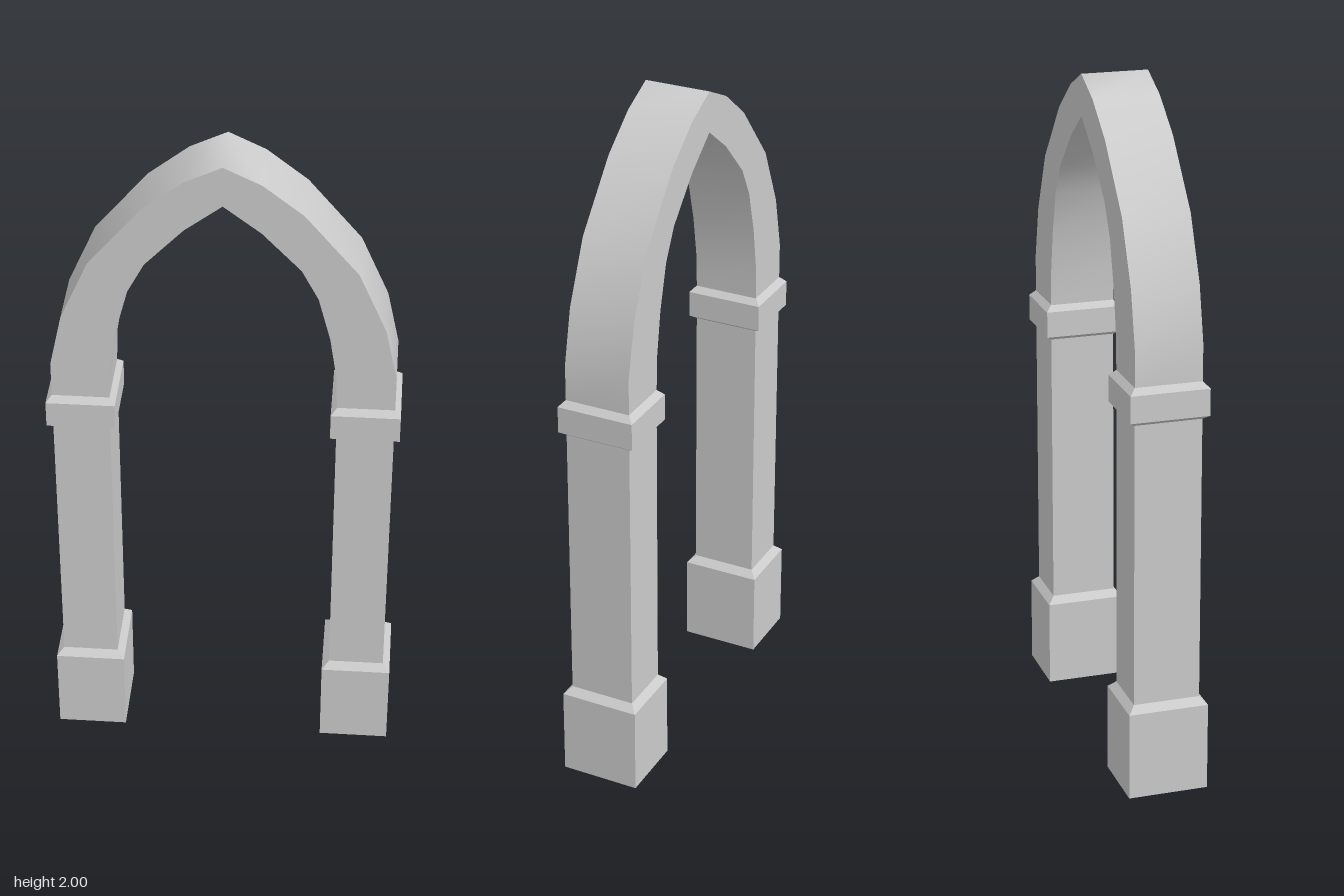
import * as THREE from 'three';
import { toCreasedNormals } from 'three/addons/utils/BufferGeometryUtils.js';

const PIER_X = 0.4075;
const DEPTH = 0.196;
const stone = new THREE.MeshStandardMaterial({ color: 0xcccccc });
const cutStone = new THREE.MeshStandardMaterial({ color: 0xcccccc, flatShading: true });

// Closed block lofted through rectangles [y, halfWidth, halfDepth], bottom to top
function rectLoft(sections) {
  const positions = [];
  const index = [];
  for (const [y, w, d] of sections) {
    positions.push(-w, y, d, w, y, d, w, y, -d, -w, y, -d);
  }
  for (let s = 0; s < sections.length - 1; s++) {
    for (let i = 0; i < 4; i++) {
      const a = s * 4 + i;
      const b = s * 4 + (i + 1) % 4;
      index.push(a, b, b + 4, a, b + 4, a + 4);
    }
  }
  const t = (sections.length - 1) * 4;
  index.push(0, 2, 1, 0, 3, 2, t, t + 1, t + 2, t, t + 2, t + 3);
  const geometry = new THREE.BufferGeometry();
  geometry.setAttribute('position', new THREE.Float32BufferAttribute(positions, 3));
  geometry.setIndex(index);
  const flat = geometry.toNonIndexed();
  flat.computeVertexNormals();
  return flat;
}

// Pointed arch: half profiles from springing to apex, mirrored about x = 0
function archGeometry() {
  const outer = [[0.49, 1.22], [0.49, 1.34], [0.455, 1.5], [0.375, 1.68], [0.222, 1.86], [0.106, 1.95], [0, 2]];
  const inner = [[0.325, 1.22], [0.32, 1.34], [0.3, 1.465], [0.265, 1.595], [0.217, 1.685], [0.106, 1.8], [0, 1.88]];
  const span = (half) => [...half, ...half.slice(0, -1).reverse().map(([x, y]) => [-x, y])];
  const outline = [...span(outer), ...span(inner).reverse()];
  const shape = new THREE.Shape(outline.map(([x, y]) => new THREE.Vector2(x, y)));
  const geometry = new THREE.ExtrudeGeometry(shape, { depth: DEPTH, bevelEnabled: false });
  geometry.translate(0, 0, -DEPTH / 2);
  return toCreasedNormals(geometry, 0.9);
}

export function createModel() {
  const model = new THREE.Group();
  model.name = 'pointedArchway';

  const add = (parent, name, geometry, material) => {
    const mesh = new THREE.Mesh(geometry, material);
    mesh.name = name;
    parent.add(mesh);
  };

  add(model, 'arch', archGeometry(), stone);

  // Pier parts shared by both sides
  const w = 0.0825;
  const d = DEPTH / 2;
  const parts = {
    base: rectLoft([[0, 0.1035, 0.118], [0.262, 0.1035, 0.118], [0.283, w, d]]),
    shaft: rectLoft([[0.28, w, d], [1.13, w, d]]),
    capital: rectLoft([[1.124, w, d], [1.136, 0.0995, 0.115], [1.215, 0.0995, 0.115], [1.233, w, d]]),
  };
  for (const [side, sign] of [['left', 1], ['right', -1]]) {
    const pier = new THREE.Group();
    pier.name = side + 'Pier';
    pier.position.x = sign * PIER_X;
    for (const [name, geometry] of Object.entries(parts)) add(pier, name, geometry, cutStone);
    model.add(pier);
  }
  return model;
}
